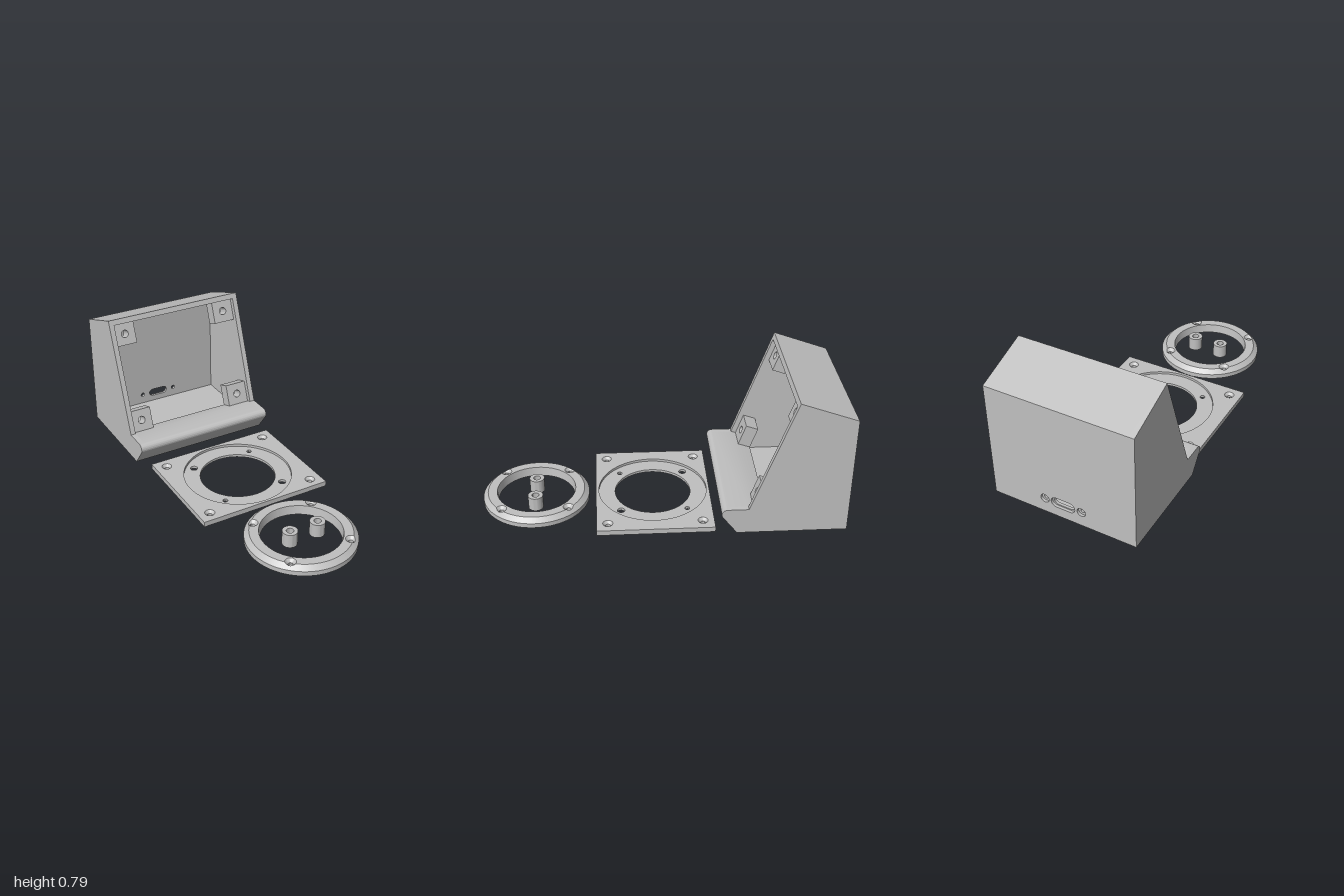
import * as THREE from 'three';
import { toCreasedNormals } from 'three/addons/utils/BufferGeometryUtils.js';

const grey = new THREE.MeshStandardMaterial({ color: 0xc0c0c0, side: THREE.DoubleSide });
grey.name = 'grey plastic';

function add(parent, name, geometry) {
  const mesh = new THREE.Mesh(toCreasedNormals(geometry, 0.5), grey);
  mesh.name = name;
  parent.add(mesh);
  return mesh;
}

function circle(x, y, r) {
  return new THREE.Path().absarc(x, y, r, 0, Math.PI * 2, false);
}

// Slot with round ends, w wide and h high
function pill(x, y, w, h) {
  const r = h / 2, s = w / 2 - r;
  const p = new THREE.Path();
  p.absarc(x + s, y, r, -Math.PI / 2, Math.PI / 2, false);
  p.absarc(x - s, y, r, Math.PI / 2, Math.PI * 1.5, false);
  p.closePath();
  return p;
}

function rect(x0, y0, x1, y1, holes = []) {
  const s = new THREE.Shape([[x0, y0], [x1, y0], [x1, y1], [x0, y1]].map(p => new THREE.Vector2(...p)));
  s.holes.push(...holes);
  return s;
}

const extrude = (shape, depth) =>
  new THREE.ExtrudeGeometry(shape, { depth, bevelEnabled: false, curveSegments: 32 });

// Horizontal plate: shape drawn in (x, -z), from y0 upwards
const slab = (shape, y0, depth) => extrude(shape, depth).rotateX(-Math.PI / 2).translate(0, y0, 0);

// Section drawn in (z, y), swept from x0 to x1
const sweep = (shape, x0, x1) => extrude(shape, x1 - x0).rotateY(-Math.PI / 2).translate(x1, 0, 0);

const corners = (dx, dy) => [[-dx, -dy], [dx, -dy], [-dx, dy], [dx, dy]];

// Rounded front nose shared by the side walls and the lip
function nose(shape) {
  shape.lineTo(-0.39, 0.012);
  shape.absarc(-0.345, 0.12, 0.03, -0.66, Math.PI / 2, false);
  shape.lineTo(-0.46, 0.15);
  return shape;
}

function buildHousing() {
  const g = new THREE.Group();
  g.name = 'housing';

  // Side walls
  const side = nose(new THREE.Shape().moveTo(-1, 0.012));
  side.lineTo(-0.69, 0.79);
  side.lineTo(-1, 0.68);
  for (const [name, x] of [['rightWall', -0.42], ['leftWall', 0.39]]) add(g, name, sweep(side, x, x + 0.03));

  // Front lip and roof between the walls
  const lip = nose(new THREE.Shape().moveTo(-0.575, 0.012));
  lip.lineTo(-0.559, 0.115);
  add(g, 'frontLip', sweep(lip, -0.39, 0.39));
  const roof = new THREE.Shape([[-0.679, 0.76], [-0.69, 0.79], [-1, 0.68], [-1, 0.655], [-0.97, 0.655]]
    .map(p => new THREE.Vector2(...p)));
  add(g, 'roof', sweep(roof, -0.39, 0.39));

  // Back wall in two layers, with a stepped socket slot and screw holes
  const back = (w, h, r) => rect(-0.39, 0.012, 0.39, 0.655,
    [pill(0, 0.088, w, h), circle(-0.108, 0.088, r), circle(0.108, 0.088, r)]);
  add(g, 'backWallOuter', extrude(back(0.14, 0.06, 0.025), 0.015).translate(0, 0, -1));
  add(g, 'backWallInner', extrude(back(0.12, 0.045, 0.012), 0.015).translate(0, 0, -0.985));

  // Floor and base with round recesses for feet
  add(g, 'floor', slab(rect(-0.39, 0.575, 0.39, 0.97), 0.012, 0.018));
  const feet = corners(0.3, 0.217).map(([x, y]) => circle(x, y + 0.693, 0.048));
  const base = slab(rect(-0.42, 0.4, 0.42, 1, feet), 0, 0.012);
  const p = base.attributes.position;
  for (let i = 0; i < p.count; i++) {
    if (p.getZ(i) > -0.405 && p.getY(i) > 0.006) p.setZ(i, -0.39);
  }
  add(g, 'base', base);
  add(g, 'footRecesses', slab(rect(-0.39, 0.41, 0.39, 0.98), 0.012, 0.002));

  // Screw blocks in the corners of the tilted opening
  const opening = new THREE.Group();
  opening.name = 'screwBlocks';
  opening.position.set(0, 0.455, -0.5695);
  opening.rotation.x = -Math.atan2(0.219, 0.61);
  for (const [x, y] of corners(0.325, 0.26)) {
    const block = rect(x - 0.065, y - 0.065, x + 0.065, y + 0.065, [circle(x, y, 0.022)]);
    add(opening, 'screwBlock', extrude(block, 0.075).translate(0, 0, -0.105));
  }
  g.add(opening);
  return g;
}

function buildPanel() {
  const g = new THREE.Group();
  g.name = 'frontPanel';
  g.position.set(0.015, 0, 0.037);
  const screws = corners(0.323, 0.26);
  const layer = (holes, r) => rect(-0.39, -0.323, 0.39, 0.323,
    [...holes, ...screws.map(([x, y]) => circle(x, y, r))]);
  // Lower layer with the main opening, upper layer with the round recess
  const small = corners(0.185, 0.185).map(([x, y]) => circle(x, y, x * y < 0 ? 0.021 : 0.014));
  add(g, 'panelBase', slab(layer([circle(0, 0, 0.215), ...small], 0.013), 0, 0.015));
  add(g, 'panelRim', slab(layer([circle(0, 0, 0.308)], 0.028), 0.015, 0.015));
  for (const [x, y] of screws) {
    const cone = [new THREE.Vector2(0.013, 0.015), new THREE.Vector2(0.028, 0.03)];
    add(g, 'countersink', new THREE.LatheGeometry(cone, 32).translate(x, 0, y));
  }
  return g;
}

function buildRing() {
  const g = new THREE.Group();
  g.name = 'clampRing';
  g.position.set(0.015, 0, 0.698);
  const holes = corners(0.185, 0.185);
  const top = r => 0.052 - Math.max(0, r - 0.273) * 0.925;   // flat, then chamfer
  const sink = s => 0.022 + s;                               // countersink cone
  const N = 480, M = 8, pos = [], index = [];

  // Ring surface as polar strips, leaving a gap from a to b at each countersink
  for (let i = 0; i <= N; i++) {
    const t = i / N * Math.PI * 2, c = Math.cos(t), s = Math.sin(t);
    let a = 0.262, b = 0.262;
    for (let r = 0.225; r < 0.3; r += 0.0005) {
      if (holes.some(([x, z]) => sink(Math.hypot(r * c - x, r * s - z)) < top(r))) {
        a = Math.min(a, r);
        b = Math.max(b, r);
      }
    }
    const m = Math.max(b, 0.273);
    const section = [[0.215, 0], [0.222, 0.052], [a, 0.052], [b, top(b)], [m, top(m)], [0.3, 0.027], [0.3, 0]];
    for (const [r, y] of section) pos.push(r * c, y, r * s);
    if (i === N) break;
    for (let j = 0; j < 6; j++) {
      if (j === 2) continue;
      const k = i * 7 + j;
      index.push(k, k + 7, k + 1, k + 1, k + 7, k + 8);
    }
  }
  const body = new THREE.BufferGeometry();
  body.setAttribute('position', new THREE.Float32BufferAttribute(pos, 3));
  body.setIndex(index);
  add(g, 'ringBody', body);

  // Underside with screw holes
  const under = new THREE.Shape().absarc(0, 0, 0.3, 0, Math.PI * 2, false);
  under.holes.push(circle(0, 0, 0.215), ...holes.map(([x, y]) => circle(x, y, 0.013)));
  add(g, 'ringUnderside', new THREE.ShapeGeometry(under, 64).rotateX(Math.PI / 2));

  // Countersunk holes, their rims trimmed to the chamfer
  for (const [x, z] of holes) {
    const profile = [[0.013, 0], [0.013, 0.035], [0.03, 0.052]].map(p => new THREE.Vector2(...p));
    const cone = new THREE.LatheGeometry(profile, 40);
    const p = cone.attributes.position;
    for (let i = 0; i < p.count; i++) {
      if (p.getY(i) < 0.05) continue;
      const dx = p.getX(i) / 0.03, dz = p.getZ(i) / 0.03;
      let s = 0.03;
      while (sink(s) > top(Math.hypot(x + dx * s, z + dz * s)) + 1e-6) s -= 0.0002;
      p.setXYZ(i, dx * s, sink(s), dz * s);
    }
    add(g, 'ringScrewHole', cone.translate(x, 0, z));
  }
  return g;
}

export function createModel() {
  const model = new THREE.Group();
  model.name = 'deskEnclosureParts';
  model.add(buildHousing(), buildPanel(), buildRing());

  // Two loose tubular spacers inside the ring
  for (const x of [-0.055, 0.116]) {
    const tube = new THREE.Shape().absarc(0, 0, 0.042, 0, Math.PI * 2, false);
    tube.holes.push(circle(0, 0, 0.02));
    add(model, 'spacer', slab(tube, 0, 0.079)).position.set(x, 0, 0.698);
  }
  return model;
}
